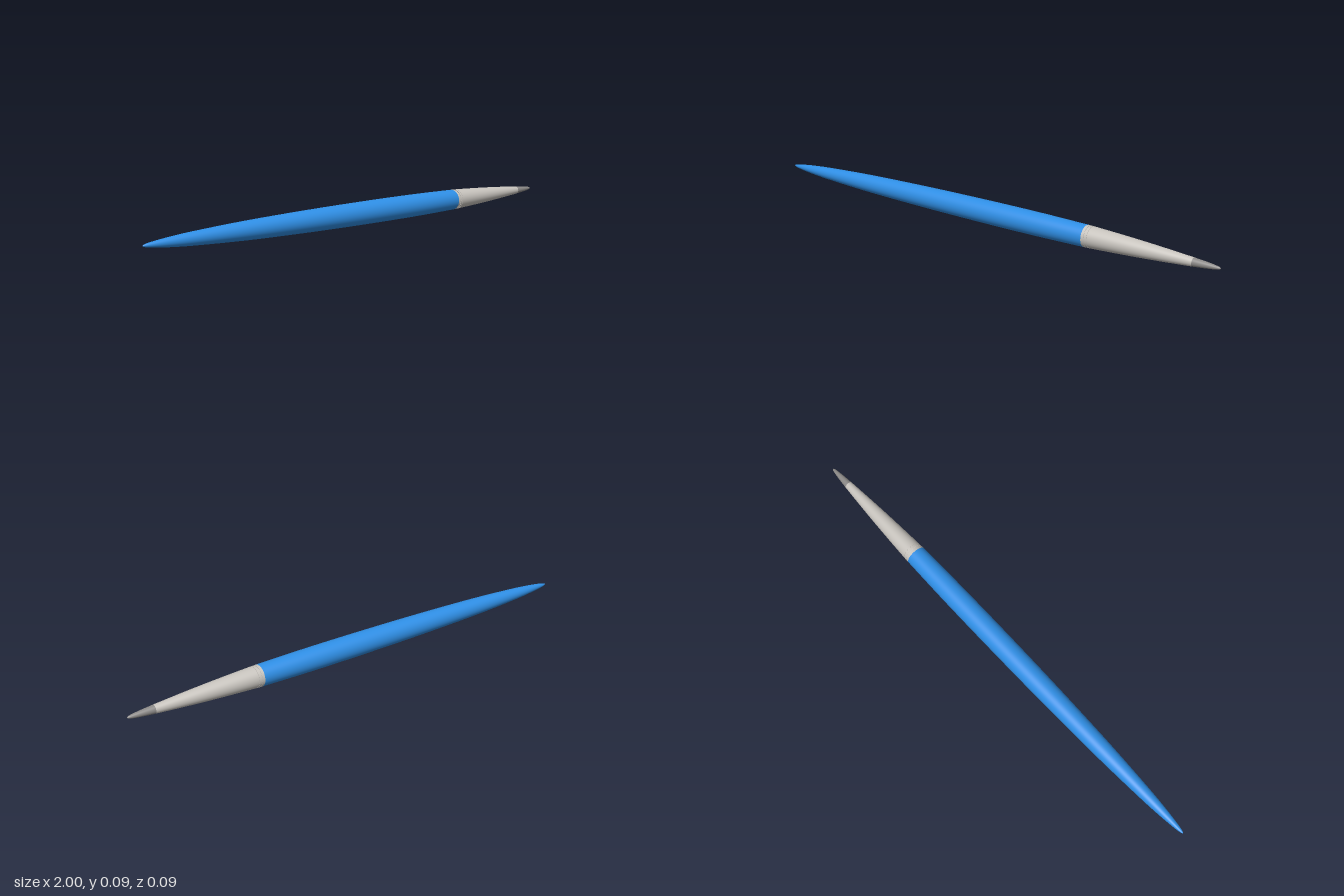
import * as THREE from 'three';

const AXIS = 0.045; // height of the long axis, equal to the widest radius

// Turn a list of [x, radius] stations into a lathe lying along x
function turned(name, stations, color, smooth = 0) {
  let points = stations.map(([x, r]) => new THREE.Vector2(r, x));
  if (smooth) {
    points = new THREE.SplineCurve(points).getPoints(smooth);
    points.forEach((p) => { p.x = Math.max(p.x, 0); });
  }
  const geometry = new THREE.LatheGeometry(points, 48);
  geometry.rotateZ(-Math.PI / 2);
  const mesh = new THREE.Mesh(geometry, new THREE.MeshStandardMaterial({ color, side: THREE.DoubleSide }));
  mesh.name = name;
  mesh.position.y = AXIS;
  return mesh;
}

export function createModel() {
  const group = new THREE.Group();
  group.name = 'pen';
  const blue = 0x2f8fe6, silver = 0xc8c4be, steel = 0x8c8a88;

  // Long barrel, swelling towards the middle and pointed at the back
  group.add(turned('barrel', [
    [-1, 0], [-0.994, 0.004], [-0.97, 0.009], [-0.9, 0.017], [-0.8, 0.0245], [-0.6, 0.034],
    [-0.4, 0.0395], [-0.2, 0.043], [0, 0.0447], [0.15, 0.045], [0.3, 0.0442], [0.48, 0.0412],
  ], blue, 80));

  // Collar of two bands with fine grooves beside them
  for (const [name, a, b, ra, rb] of [
    ['collarBand', 0.48, 0.491, 0.0412, 0.0409],
    ['collarGroove', 0.491, 0.494, 0.0395, 0.0395],
    ['collarBand', 0.494, 0.503, 0.0408, 0.0405],
    ['collarGroove', 0.503, 0.506, 0.039, 0.039],
  ]) {
    group.add(turned(name, [[a, ra], [b, rb]], silver));
    // Flat shoulders closing each step
    group.add(turned(name + 'Shoulder', [[b, 0.038], [b, rb]], silver));
  }

  // Tapered grip
  group.add(turned('gripShoulder', [[0.506, 0.038], [0.506, 0.0404]], silver));
  group.add(turned('grip', [
    [0.506, 0.0404], [0.6, 0.036], [0.7, 0.0305], [0.8, 0.0238], [0.9, 0.0162],
  ], silver, 24));

  // Writing tip with a rounded point
  group.add(turned('tip', [
    [0.9, 0.0162], [0.95, 0.0115], [0.985, 0.0068], [0.996, 0.004], [1, 0],
  ], steel, 24));

  return group;
}
